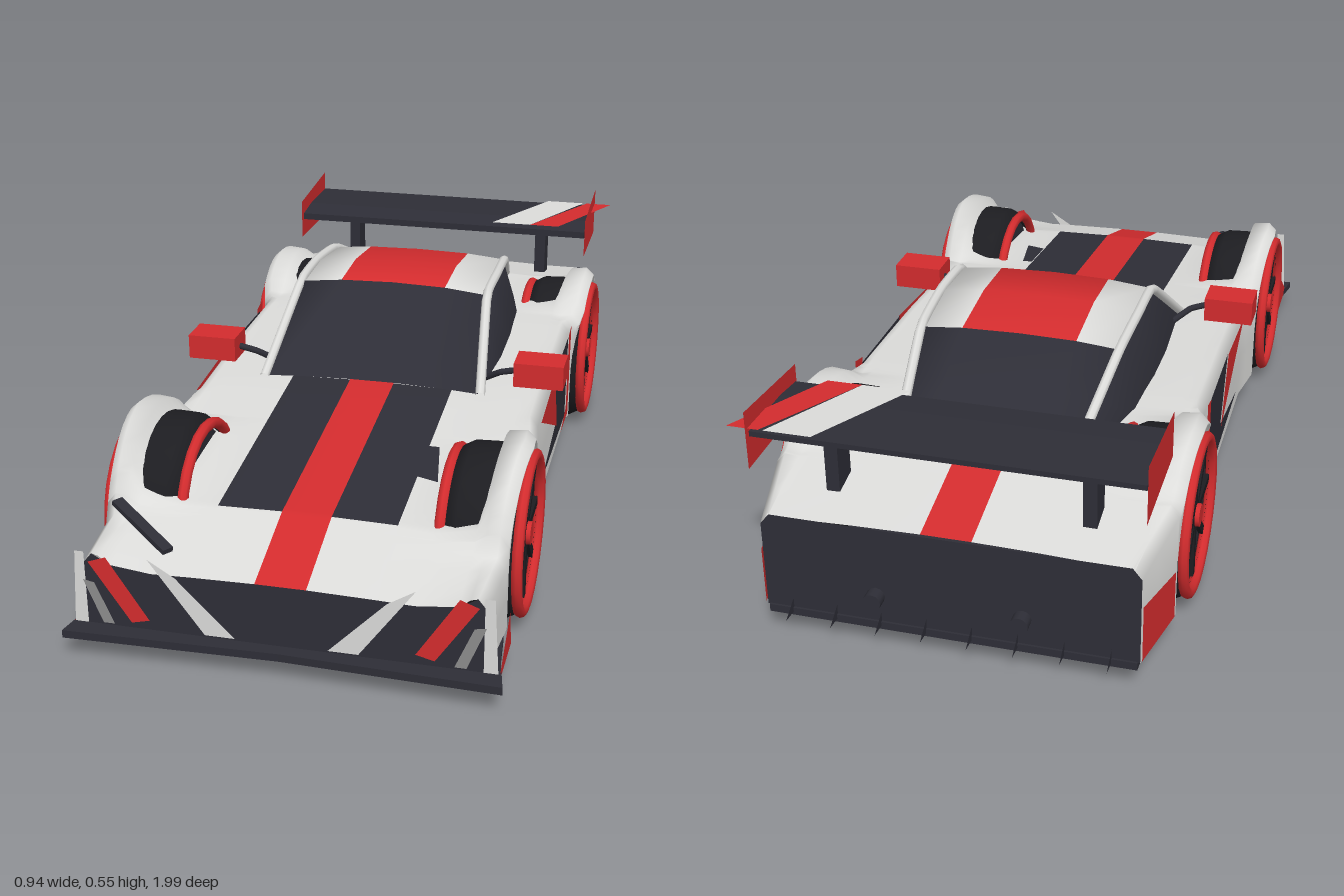
import * as THREE from 'three';

const mat = (name, color) => {
  const m = new THREE.MeshStandardMaterial({ color, side: THREE.DoubleSide });
  m.name = name;
  return m;
};

// piecewise linear lookup in a short list of [z, value], z descending
const lookup = (table) => (z) => {
  for (let i = 1; i < table.length; i++) {
    const [z0, a] = table[i - 1], [z1, b] = table[i];
    if (z >= z1) return a + (b - a) * Math.min(1, Math.max(0, (z0 - z) / (z0 - z1)));
  }
  return table[table.length - 1][1];
};
const WHEELS = [0.575, -0.555], AXLE = 0.195, ARCH = 0.203;
const hoodY = lookup([[0.955, 0.207], [0.75, 0.27], [0.16, 0.335], [-0.3, 0.35], [-0.69, 0.35], [-0.94, 0.3]]);
const edgeY = lookup([[0.955, 0.24], [0.8, 0.25], [0.3, 0.325], [-0.02, 0.345], [-0.3, 0.35], [-0.75, 0.34], [-0.94, 0.3]]);
const width = lookup([[0.955, 0.43], [0.75, 0.445], [0.575, 0.46], [0.38, 0.445], [0.25, 0.425], [-0.33, 0.425],
  [-0.42, 0.455], [-0.55, 0.46], [-0.75, 0.45], [-0.94, 0.41]]);
const arc = (z, r, zw) => (Math.abs(z - zw) < r ? AXLE + Math.sqrt(r * r - (z - zw) ** 2) : 0);

// surface through cross-sections, one material index per quad
function loft(rows, pick) {
  const n = rows[0].length, buckets = [];
  for (let i = 0; i < rows.length - 1; i++) {
    for (let j = 0; j < n - 1; j++) {
      const a = i * n + j, b = a + n;
      (buckets[pick(i, j)] ??= []).push(a, b, a + 1, a + 1, b, b + 1);
    }
  }
  const g = new THREE.BufferGeometry();
  g.setAttribute('position', new THREE.Float32BufferAttribute(rows.flat(2), 3));
  const index = [];
  buckets.forEach((list, m) => {
    g.addGroup(index.length, list.length, m);
    for (const k of list) index.push(k);
  });
  g.setIndex(index);
  g.computeVertexNormals();
  return g;
}
const mirrorRow = (half) => [...half, ...half.slice(0, -1).reverse().map(([x, y, z]) => [-x, y, z])];

export function createModel() {
  const car = new THREE.Group();
  car.name = 'raceCar';
  const white = mat('whitePaint', 0xdcdcda), red = mat('redPaint', 0xd42c2e);
  const black = mat('blackPanel', 0x2e2e37), rubber = mat('rubber', 0x1d1d21), grey = mat('greyTrim', 0x8c8c8c);

  const add = (name, geo, m, x = 0, y = 0, z = 0, parent = car) => {
    const mesh = new THREE.Mesh(geo, m);
    mesh.name = name;
    mesh.position.set(x, y, z);
    parent.add(mesh);
    return mesh;
  };
  // thin flat panel; a and b run along the two axes other than the given one
  const plate = (name, m, axis, at, pts) => {
    const g = new THREE.ShapeGeometry(new THREE.Shape(pts.map((p) => new THREE.Vector2(...p))));
    const p = g.attributes.position;
    for (let i = 0; i < p.count; i++) {
      const a = p.getX(i), b = p.getY(i), c = typeof at === 'function' ? at(a, b) : at;
      if (axis === 'x') p.setXYZ(i, c, b, a);
      else if (axis === 'y') p.setXYZ(i, a, c, b);
      else p.setXYZ(i, a, b, c);
    }
    g.computeVertexNormals();
    return add(name, g, m);
  };
  const rod = (name, m, pts, r) => add(name, new THREE.TubeGeometry(
    new THREE.CatmullRomCurve3(pts.map((p) => new THREE.Vector3(...p)), false, 'catmullrom', 0.15), 24, r, 8), m);

  // body shell with raised fenders and open wheel arches
  const stations = [0.955, 0.9, 0.85, 0.8, 0.75, 0.3, 0.25, 0.16, 0, -0.15, -0.3, -0.33, -0.69, -0.78, -0.86, -0.94];
  for (const zw of WHEELS) {
    for (const s of [-1, 1]) {
      stations.push(zw + s * (ARCH + 0.001));
      for (const k of [0.999, 0.97, 0.9, 0.8, 0.65, 0.5, 0.33, 0.16]) stations.push(zw + s * k * ARCH);
    }
    stations.push(zw);
  }
  stations.sort((a, b) => b - a);
  const rows = stations.map((z) => {
    const h = hoodY(z), w = width(z);
    const low = Math.max(0.07, ...WHEELS.map((c) => arc(z, ARCH, c)));
    const top = Math.max(edgeY(z), ...WHEELS.map((c) => arc(z, 0.225, c)));
    const sh = Math.max(top - 0.025, low + 0.004);
    return mirrorRow([[w, low, z], [w, (low + sh) / 2, z], [w, sh, z], [w - 0.02, top, z], [0.395, top - 0.004, z],
      [0.37, h + 0.3 * (top - h), z], [0.28, h, z], [0.2, h + 0.003, z], [0.055, h + 0.006, z], [0, h + 0.006, z]]);
  });
  add('bodyShell', loft(rows, (i, j) => {
    const z = (stations[i] + stations[i + 1]) / 2;
    if (j === 8 || j === 9) return 1;
    return (j === 7 || j === 10) && z < 0.75 && z > 0.16 ? 2 : 0;
  }), [white, red, black]);
  add('innerTub', new THREE.BoxGeometry(0.53, 0.14, 1.84), black, 0, 0.14, 0);

  // floor with splitter, narrow at the wheels
  const half = [[0.47, 1.0], [0.45, 0.9], [0.44, 0.8], [0.27, 0.78], [0.27, 0.37], [0.42, 0.36], [0.42, -0.34],
    [0.27, -0.35], [0.27, -0.77], [0.41, -0.78], [0.405, -0.945]];
  const outline = [[0, 0.985], ...half, ...half.map(([x, z]) => [-x, z]).reverse()];
  const floor = new THREE.ExtrudeGeometry(new THREE.Shape(outline.map((p) => new THREE.Vector2(...p))),
    { depth: 0.018, bevelEnabled: false });
  floor.rotateX(Math.PI / 2);
  add('floorAndSplitter', floor, black, 0, 0.072, 0);

  // nose and tail panels
  plate('nosePanel', black, 'z', 0.955, [[-0.43, 0.07], [0.43, 0.07], [0.43, 0.215], [0.41, 0.24], [0.37, 0.217],
    [0.28, 0.207], [-0.28, 0.207], [-0.37, 0.217], [-0.41, 0.24], [-0.43, 0.215]]);
  plate('tailPanel', black, 'z', -0.94, [[-0.41, 0.07], [0.41, 0.07], [0.41, 0.275], [0.39, 0.3], [-0.39, 0.3], [-0.41, 0.275]]);

  // cabin: glass with painted roof
  const cabin = [[0.165, 0.335, 0.265, 0.272, 0], [-0.07, 0.505, 0.24, 0.287, 0.015], [-0.22, 0.512, 0.24, 0.288, 0.015],
    [-0.39, 0.495, 0.232, 0.28, 0.012], [-0.52, 0.435, 0.215, 0.25, 0.01], [-0.69, 0.352, 0.19, 0.2, 0]];
  const cabinRows = cabin.map(([z, y, tx, bx, c]) => mirrorRow(
    [[bx, 0.33, z], [tx, y, z], [0.135, y + c * 0.75, z], [0, y + c, z]]));
  add('cabin', loft(cabinRows, (i, j) => {
    if (i < 1 || i > 2 || j === 0 || j === 5) return 2;
    return j === 2 || j === 3 ? 1 : 0;
  }), [white, red, black]);

  // wing
  const wing = new THREE.Shape([[0.70, 0.488], [0.78, 0.497], [0.94, 0.497], [0.94, 0.485], [0.76, 0.458], [0.70, 0.47]]
    .map(([z, y]) => new THREE.Vector2(z, y)));
  const wingGeo = new THREE.ExtrudeGeometry(wing, { depth: 0.83, bevelEnabled: false });
  wingGeo.rotateY(Math.PI / 2);
  add('rearWing', wingGeo, black, -0.415, 0, 0);
  // the extrusion runs along +x with its profile along -z
  const overWing = (x, z) => (z < -0.8 ? 0.503 : 0.5);
  plate('wingWhiteStripe', white, 'y', overWing, [[0.28, -0.94], [0.385, -0.94], [0.26, -0.7], [0.15, -0.7]]);
  plate('wingRedStripe', red, 'y', overWing, [[0.395, -0.94], [0.465, -0.94], [0.34, -0.7], [0.26, -0.7]]);

  for (const s of [-1, 1]) {
    const side = s > 0 ? 'left' : 'right';
    const mx = (pts) => pts.map(([x, y]) => [s * x, y]);

    // side graphics
    plate(side + 'SideDarkPanel', black, 'x', s * 0.429,
      [[-0.02, 0.325], [-0.29, 0.325], [-0.28, 0.1], [0.17, 0.12], [-0.09, 0.165]]);
    plate(side + 'SideRedTriangle', red, 'x', s * 0.431, [[0.23, 0.305], [-0.02, 0.325], [-0.09, 0.155]]);
    plate(side + 'SideRedStrip', red, 'x', s * 0.432, [[-0.28, 0.335], [-0.325, 0.345], [-0.325, 0.09], [-0.18, 0.095], [-0.28, 0.125]]);
    plate(side + 'RearRedCorner', red, 'x', (z) => s * (width(z) + 0.004),
      [[-0.775, 0.19], [-0.94, 0.21], [-0.94, 0.075], [-0.775, 0.075]]);
    plate(side + 'FrontFin', red, 'x', s * 0.458, [[0.975, 0.06], [0.84, 0.15], [0.815, 0.06]]);

    // nose graphics
    plate(side + 'NoseWhiteStrip', white, 'z', 0.962, mx([[0.285, 0.245], [0.225, 0.208], [0.1, 0.08], [0.165, 0.08]]));
    plate(side + 'NoseRedStrip', red, 'z', 0.965, mx([[0.415, 0.225], [0.375, 0.24], [0.285, 0.1], [0.325, 0.09]]));
    plate(side + 'NoseGreyStrip', grey, 'z', 0.962, mx([[0.43, 0.18], [0.405, 0.175], [0.365, 0.08], [0.39, 0.08]]));
    plate(side + 'NoseEdge', white, 'z', 0.96, mx([[0.425, 0.245], [0.445, 0.245], [0.455, 0.075], [0.425, 0.075]]));

    // cabin pillars and roof rail
    rod(side + 'RoofRail', white, [[s * 0.272, 0.335, 0.17], [s * 0.243, 0.505, -0.07], [s * 0.243, 0.512, -0.22],
      [s * 0.235, 0.495, -0.39], [s * 0.195, 0.355, -0.69]], 0.012);

    // mirror
    const pod = new THREE.BoxGeometry(0.12, 0.06, 0.085);
    add(side + 'Mirror', pod, red, s * 0.41, 0.392, 0.12);
    rod(side + 'MirrorStalk', black, [[s * 0.26, 0.34, 0.08], [s * 0.31, 0.375, 0.11], [s * 0.36, 0.39, 0.12]], 0.008);

    // wing end plates, struts and exhausts
    plate(side + 'WingEndPlate', red, 'x', s * 0.418, [[-0.69, 0.525], [-0.95, 0.545], [-0.95, 0.412], [-0.69, 0.418]]);
    add(side + 'WingStrut', new THREE.BoxGeometry(0.03, 0.19, 0.065), black, s * 0.28, 0.385, -0.815);
    const pipe = new THREE.CylinderGeometry(0.02, 0.02, 0.04, 12);
    pipe.rotateX(Math.PI / 2);
    add(side + 'Exhaust', pipe, black, s * 0.16, 0.135, -0.948);
    for (let i = 0; i < 4; i++) {
      plate(side + 'DiffuserFin' + i, black, 'x', s * (0.05 + i * 0.1), [[-0.93, 0.1], [-0.985, 0.066], [-0.93, 0.06]]);
    }

    // wheels
    WHEELS.forEach((zw, k) => {
      const wheel = new THREE.Group();
      wheel.name = side + (k ? 'Rear' : 'Front') + 'Wheel';
      wheel.position.set(s * 0.372, AXLE, zw);
      wheel.rotation.z = -s * Math.PI / 2;
      car.add(wheel);
      const profile = [[0.16, -0.078], [0.18, -0.074], [0.193, -0.05], [0.195, 0], [0.193, 0.05], [0.18, 0.074], [0.16, 0.078]];
      add('tyre', new THREE.LatheGeometry(profile.map((p) => new THREE.Vector2(...p)), 32), rubber, 0, 0, 0, wheel);
      add('disc', new THREE.CylinderGeometry(0.162, 0.162, 0.14, 24), black, 0, 0, 0, wheel);
      for (const y of [-0.085, 0.083]) {
        const ring = new THREE.TorusGeometry(0.174, 0.013, 8, 24);
        ring.rotateX(Math.PI / 2);
        add('rimRing', ring, red, 0, y, 0, wheel);
      }
      for (let i = 0; i < 4; i++) {
        add('spoke', new THREE.BoxGeometry(0.32, 0.012, 0.02), rubber, 0, 0.074, 0, wheel).rotation.y = i * Math.PI / 4;
      }
      add('hub', new THREE.CylinderGeometry(0.026, 0.026, 0.02, 12), red, 0, 0.08, 0, wheel);
    });
  }

  // headlight slash and hood vent
  const slash = add('headlightSlash', new THREE.BoxGeometry(0.19, 0.012, 0.025), black, -0.33, 0.268, 0.865);
  slash.rotation.set(0, -0.6, -0.25);
  plate('hoodVent', black, 'y', (x, z) => hoodY(z) + 0.006, [[0.2, 0.43], [0.225, 0.43], [0.25, 0.575], [0.2, 0.56]]);
  return car;
}
